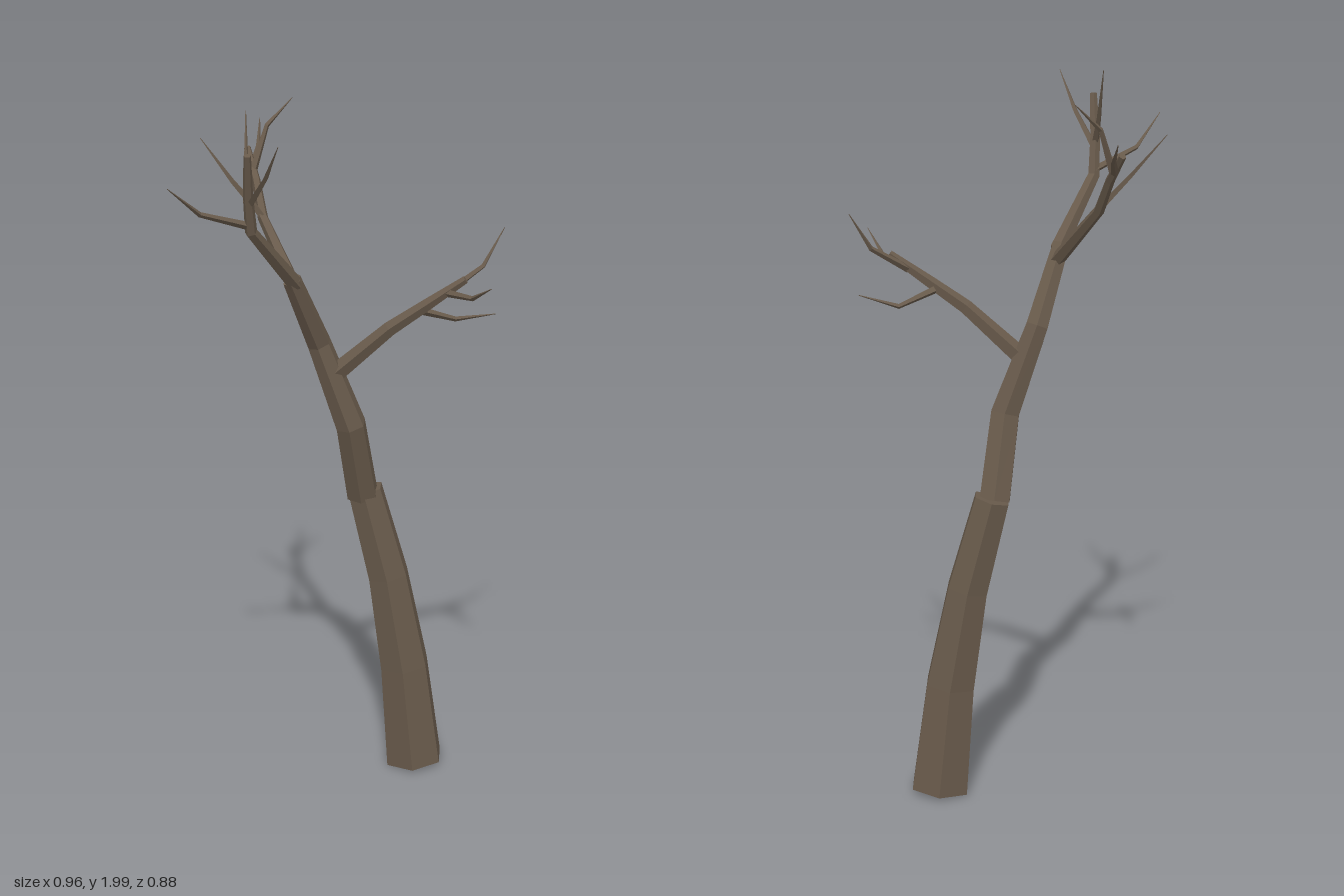
import * as THREE from 'three';

const bark = new THREE.MeshStandardMaterial({ color: 0x685a4b, flatShading: true });
bark.name = 'bark';

// Faceted limb: a ring of `sides` corners around each [x, y, z, radius] point, capped at both ends
function limb(name, sides, points) {
  const centres = points.map(([x, y, z]) => new THREE.Vector3(x, y, z));
  const last = centres.length - 1;
  const positions = [];
  const index = [];
  let u = null;
  centres.forEach((c, i) => {
    const tangent = new THREE.Vector3();
    if (i > 0) tangent.add(c.clone().sub(centres[i - 1]).normalize());
    if (i < last) tangent.add(centres[i + 1].clone().sub(c).normalize());
    tangent.normalize();
    if (!u) {
      u = Math.abs(tangent.x) > 0.75
        ? new THREE.Vector3(0, 0, 1)
        : new THREE.Vector3(0.985, 0, 0.174);
    }
    u.addScaledVector(tangent, -u.dot(tangent)).normalize();
    const v = new THREE.Vector3().crossVectors(tangent, u);
    for (let k = 0; k < sides; k++) {
      const a = (k / sides) * Math.PI * 2;
      const p = c.clone()
        .addScaledVector(u, Math.cos(a) * points[i][3])
        .addScaledVector(v, Math.sin(a) * points[i][3]);
      positions.push(p.x, p.y, p.z);
    }
  });
  for (let i = 0; i < last; i++) {
    for (let k = 0; k < sides; k++) {
      const a = i * sides + k;
      const b = i * sides + (k + 1) % sides;
      index.push(a, b, b + sides, a, b + sides, a + sides);
    }
  }
  const top = last * sides;
  for (let k = 1; k < sides - 1; k++) {
    index.push(0, k + 1, k, top, top + k, top + k + 1);
  }
  const indexed = new THREE.BufferGeometry();
  indexed.setAttribute('position', new THREE.Float32BufferAttribute(positions, 3));
  indexed.setIndex(index);
  const geometry = indexed.toNonIndexed();
  geometry.computeVertexNormals();
  const mesh = new THREE.Mesh(geometry, bark);
  mesh.name = name;
  return mesh;
}

// Thin pointed twig through a start, a bend and a tip
function twig(name, start, bend, tip) {
  return limb(name, 4, [[...start, 0.011], [...bend, 0.007], [...tip, 0.001]]);
}

function bough(name, ...parts) {
  const group = new THREE.Group();
  group.name = name;
  group.add(...parts);
  return group;
}

export function createModel() {
  const tree = new THREE.Group();
  tree.name = 'bareTree';

  // Leaning trunk in two lengths, with a small step where they join
  tree.add(
    limb('lowerTrunk', 6, [
      [0.33, 0.012, 0.065, 0.088],
      [0.3, 0.32, 0.05, 0.075],
      [0.262, 0.6, 0.018, 0.062],
      [0.21, 0.86, -0.027, 0.053],
    ]),
    limb('upperTrunk', 6, [
      [0.197, 0.85, -0.022, 0.047],
      [0.13, 1.08, 0.012, 0.044],
      [0.052, 1.32, -0.031, 0.034],
      [-0.06, 1.525, 0, 0.026],
    ]),
  );

  // Bough on the model's right
  tree.add(bough('rightBough',
    limb('rightBranch', 5, [
      [-0.05, 1.51, 0.003, 0.023],
      [-0.222, 1.69, 0.05, 0.017],
      [-0.245, 1.79, 0.072, 0.014],
      [-0.268, 1.907, 0.105, 0.01],
    ]),
    twig('rightTwigOuter', [-0.222, 1.705, 0.05], [-0.37, 1.755, 0.037], [-0.478, 1.84, 0.058]),
    twig('rightTwigBack', [-0.245, 1.775, 0.07], [-0.222, 1.85, 0.03], [-0.178, 1.99, -0.037]),
    twig('rightTwigFront', [-0.237, 1.765, 0.065], [-0.25, 1.855, 0.16], [-0.275, 1.957, 0.255]),
  ));

  // Bough reaching back
  tree.add(bough('backBough',
    limb('backBranch', 5, [
      [-0.035, 1.48, -0.005, 0.021],
      [-0.018, 1.65, -0.2, 0.015],
      [0.003, 1.74, -0.265, 0.013],
      [0.022, 1.815, -0.335, 0.01],
    ]),
    twig('backTwigInner', [-0.02, 1.655, -0.2], [-0.075, 1.745, -0.262], [-0.125, 1.857, -0.345]),
    twig('backTwigOuter', [0.012, 1.765, -0.295], [0.075, 1.807, -0.36], [0.135, 1.867, -0.442]),
    twig('backTwigUpper', [0.01, 1.765, -0.285], [0.057, 1.88, -0.29], [0.135, 1.95, -0.28]),
  ));

  // Lower bough reaching forward on the model's left
  tree.add(bough('leftBough',
    limb('leftBranch', 5, [
      [0.09, 1.235, -0.005, 0.027],
      [0.195, 1.37, 0.1, 0.021],
      [0.27, 1.442, 0.168, 0.017],
      [0.347, 1.515, 0.235, 0.011],
    ]),
    twig('leftTwigOuter', [0.31, 1.475, 0.2], [0.415, 1.54, 0.225], [0.478, 1.64, 0.235]),
    twig('leftTwigFront', [0.31, 1.475, 0.2], [0.3, 1.49, 0.325], [0.27, 1.547, 0.438]),
    twig('leftTwigLower', [0.265, 1.42, 0.145], [0.367, 1.385, 0.17], [0.434, 1.41, 0.26]),
  ));

  return tree;
}
